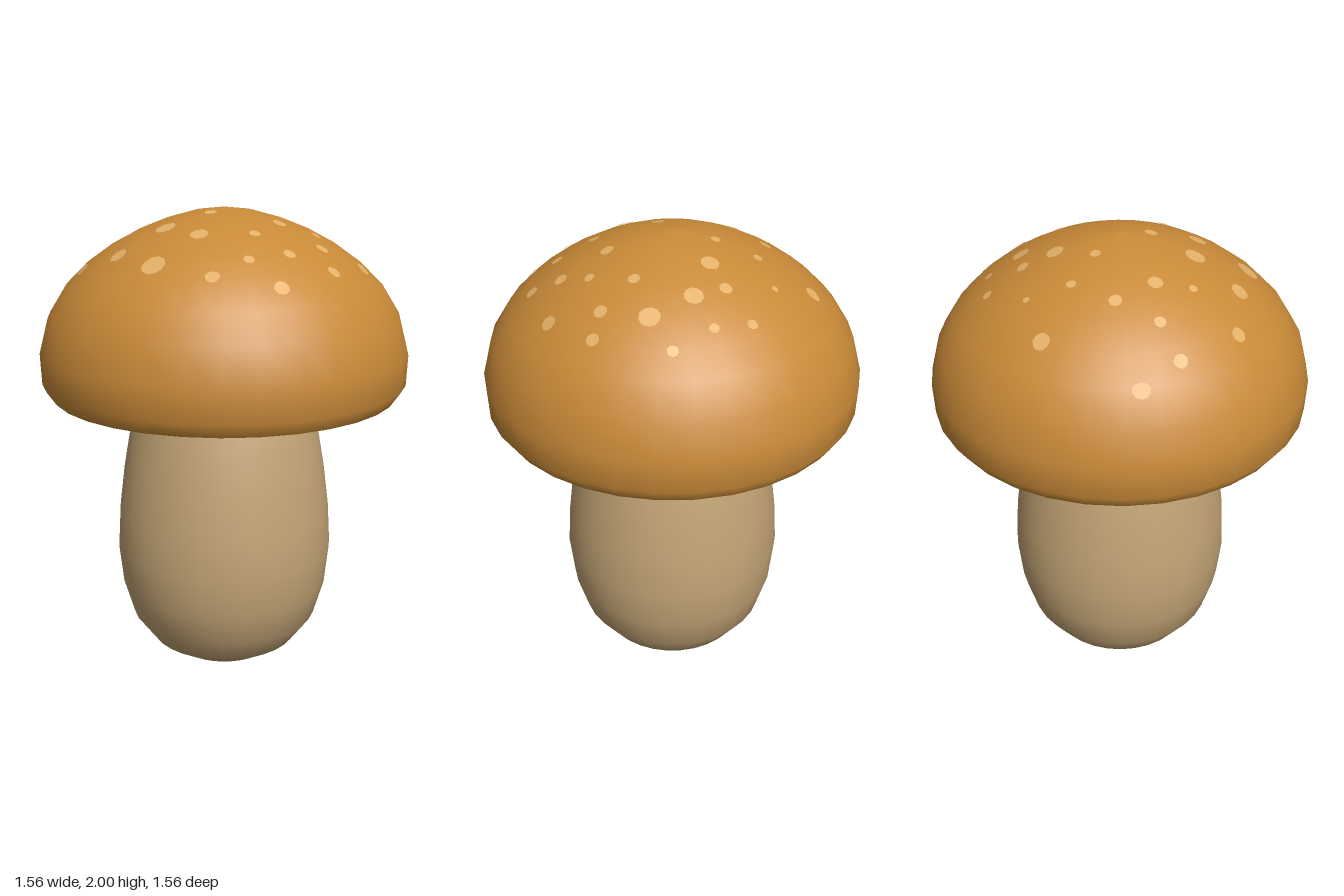
import * as THREE from 'three';

const SEGMENTS = 32;
const CAP = [
  [0.735, 1.222], [0.775, 1.28], [0.78, 1.41], [0.74, 1.56], [0.665, 1.68],
  [0.57, 1.774], [0.465, 1.849], [0.36, 1.905], [0.24, 1.953], [0.12, 1.986], [0, 2],
];
const RIM = [[0.685, 1.26], [0.705, 1.23], [0.735, 1.222]];
const UNDERSIDE = [
  [0, 1.7], [0.2, 1.68], [0.36, 1.64], [0.5, 1.57], [0.61, 1.47], [0.668, 1.36], [0.685, 1.26],
];
const STEM = [
  [0, 0], [0.1, 0.004], [0.22, 0.028], [0.325, 0.093], [0.41, 0.208], [0.455, 0.36], [0.473, 0.53],
  [0.463, 0.7], [0.44, 0.88], [0.41, 1.05], [0.367, 1.225], [0.31, 1.4], [0.235, 1.59], [0.18, 1.72],
];
// Spots seen from above: x, z, radius
const SPOTS = [
  [-0.14, -0.513, 0.021], [0.01, -0.518, 0.02], [0.178, -0.552, 0.022], [-0.292, -0.353, 0.014],
  [-0.085, -0.375, 0.026], [0.045, -0.39, 0.038], [0.222, -0.417, 0.042], [0.428, -0.385, 0.027],
  [-0.48, -0.293, 0.034], [-0.067, -0.25, 0.037], [0.375, -0.305, 0.027], [0.227, -0.24, 0.024],
  [-0.287, -0.186, 0.02], [-0.145, -0.095, 0.021], [0.367, -0.121, 0.021], [0.547, -0.193, 0.032],
  [-0.384, -0.024, 0.026], [0.265, -0.006, 0.029], [0.455, -0.021, 0.027], [-0.66, 0.063, 0.035],
  [-0.456, 0.136, 0.023], [-0.297, 0.125, 0.03], [0.02, 0.122, 0.026], [0.556, 0.06, 0.027],
  [-0.567, 0.206, 0.028], [0.27, 0.18, 0.023], [0.425, 0.175, 0.025], [-0.285, 0.266, 0.017],
  [-0.082, 0.288, 0.043], [0.1, 0.312, 0.037], [0.343, 0.33, 0.022], [0.493, 0.335, 0.031],
  [-0.4, 0.43, 0.031], [-0.19, 0.453, 0.038], [0.278, 0.475, 0.029], [0.03, 0.511, 0.05],
];

// Height and slope of the faceted cap at a point seen from above
function capAt(x, z) {
  const step = (Math.PI * 2) / SEGMENTS, angle = Math.atan2(z, x);
  const offset = angle - (Math.floor(angle / step) + 0.5) * step;
  const r = (Math.hypot(x, z) * Math.cos(offset)) / Math.cos(step / 2);
  const i = CAP.findIndex(([radius], k) => k > 2 && radius <= r);
  const [r0, y0] = CAP[i], [r1, y1] = CAP[i - 1];
  const slope = (y1 - y0) / (r1 - r0);
  return { y: y0 + (r - r0) * slope, slope };
}

// Thin round patches that follow the curve of the cap
function spotsGeometry() {
  const position = [], normal = [], index = [], sides = 10, lift = 0.004;
  for (const [cx, cz, radius] of SPOTS) {
    const d = Math.hypot(cx, cz), ux = cx / d, uz = cz / d;
    const { slope } = capAt(cx, cz);
    const n = new THREE.Vector3(-slope * ux, 1, -slope * uz).normalize();
    const start = position.length / 3;
    for (let i = 0; i <= sides; i++) {
      const angle = (i / sides) * Math.PI * 2, size = i === 0 ? 0 : radius;
      const along = Math.cos(angle) * size * n.y, across = Math.sin(angle) * size;
      const x = cx + ux * along - uz * across, z = cz + uz * along + ux * across;
      position.push(x + n.x * lift, capAt(x, z).y + n.y * lift, z + n.z * lift);
      normal.push(n.x, n.y, n.z);
      if (i > 0) index.push(start, start + (i % sides) + 1, start + i);
    }
  }
  const geometry = new THREE.BufferGeometry();
  geometry.setAttribute('position', new THREE.Float32BufferAttribute(position, 3));
  geometry.setAttribute('normal', new THREE.Float32BufferAttribute(normal, 3));
  geometry.setIndex(index);
  return geometry;
}

function material(name, color) {
  const m = new THREE.MeshStandardMaterial({ color });
  m.name = name;
  return m;
}

const lathe = (profile) =>
  new THREE.LatheGeometry(profile.map(([r, y]) => new THREE.Vector2(r, y)), SEGMENTS);

export function createModel() {
  const group = new THREE.Group();
  group.name = 'mushroom';
  const add = (name, geometry, mat) => {
    const mesh = new THREE.Mesh(geometry, mat);
    mesh.name = name;
    group.add(mesh);
  };

  const beige = material('beige', 0xc4a576);
  add('stem', lathe(STEM), beige);
  add('cap', lathe(CAP), material('orange brown', 0xc98a38));
  add('capRim', lathe(RIM), beige);
  add('capUnderside', lathe(UNDERSIDE), material('tan', 0xb88d55));
  add('capSpots', spotsGeometry(), material('pale orange', 0xe2b068));
  return group;
}
